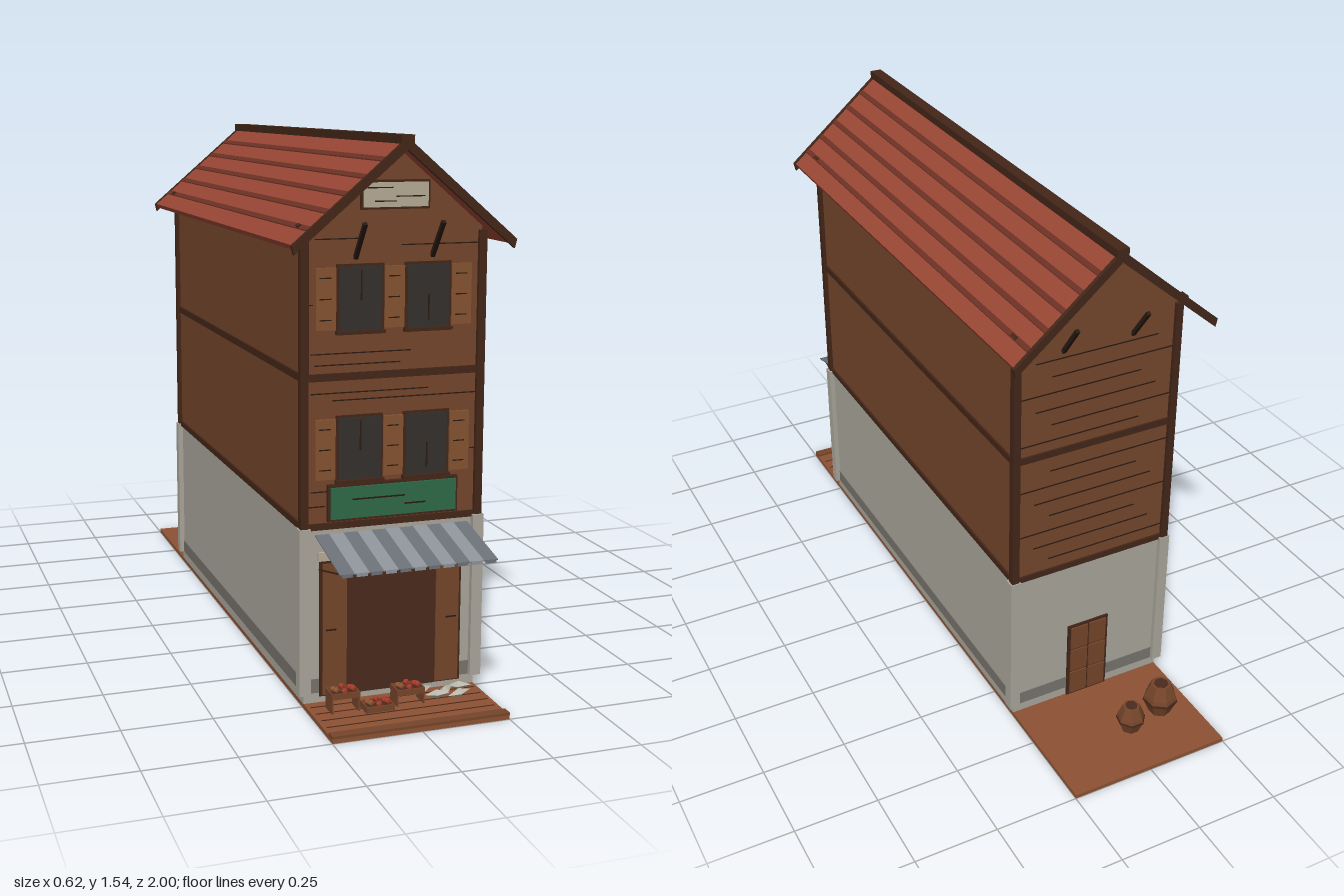
import * as THREE from 'three';

const C = {
  wall: 0x74462b, timber: 0x432618, stone: 0xaaa69c, base: 0x77746d, roof: 0x9a4734, seam: 0x6e3225,
  ground: 0x8d5233, leaf: 0x75452a, dark: 0x4a2a1d, glass: 0x35302c, shutter: 0x865331, green: 0x2f6a48,
  cream: 0xb5ab93, line: 0x2a1a12, awnA: 0x6c7177, awnB: 0x8d9399, red: 0xa8382a, pale: 0xb9b6aa,
};
const mats = {};
const mat = (c) => (mats[c] ??= new THREE.MeshStandardMaterial({ color: C[c], flatShading: true, side: THREE.DoubleSide }));

export function createModel() {
  const model = new THREE.Group();
  const add = (name, geo, c, parent = model) => {
    const m = new THREE.Mesh(geo, mat(c));
    m.name = name;
    parent.add(m);
    return m;
  };
  // Box given by its extents
  const box = (name, c, x0, x1, y0, y1, z0, z1) => {
    const m = add(name, new THREE.BoxGeometry(x1 - x0, y1 - y0, z1 - z0), c);
    m.position.set((x0 + x1) / 2, (y0 + y1) / 2, (z0 + z1) / 2);
    return m;
  };
  // Profile in x,y extruded from z0 to z1
  const prism = (name, c, pts, z0, z1) => {
    const shape = new THREE.Shape(pts.map(([x, y]) => new THREE.Vector2(x, y)));
    const geo = new THREE.ExtrudeGeometry(shape, { depth: z1 - z0, bevelEnabled: false });
    return add(name, geo.translate(0, 0, z0), c);
  };
  // Thin square bar between two points
  const bar = (name, c, a, b, w) => {
    const p = new THREE.Vector3(...a), q = new THREE.Vector3(...b);
    const m = add(name, new THREE.BoxGeometry(w, w, p.distanceTo(q)), c);
    m.position.copy(p).add(q).multiplyScalar(0.5);
    m.lookAt(q);
    return m;
  };
  const ZF = 0.76, ZB = -0.62;

  // Ground and front boardwalk
  box('ground', 'ground', -0.25, 0.25, 0, 0.012, -1, 1);
  box('boardwalkEdge', 'leaf', -0.25, 0.25, 0.012, 0.019, 0.97, 1);
  for (let i = 0; i < 4; i++) box('boardwalkSeam', 'dark', -0.24, 0.24, 0.012, 0.0135, 0.79 + i * 0.045, 0.793 + i * 0.045);

  // Stone storey, plinth and corner pillars
  box('stoneStorey', 'stone', -0.25, 0.25, 0.012, 0.5, ZB, ZF);
  box('plinth', 'base', -0.252, 0.252, 0.04, 0.08, ZB - 0.002, ZF + 0.002);
  for (const s of [-1, 1]) for (const z of [ZF, ZB + 0.002])
    box('stonePillar', 'stone', s * 0.25 - 0.016, s * 0.25 + 0.016, 0.04, 0.505, z - 0.016, z + 0.016);

  // Timber storeys with gables
  prism('timberWalls', 'wall', [[-0.25, 0.5], [0.25, 0.5], [0.25, 1.295], [0, 1.51], [-0.25, 1.295]], ZB, ZF);
  for (const s of [-1, 1]) for (const z of [ZF, ZB])
    box('cornerPost', 'timber', s * 0.25 - 0.011, s * 0.25 + 0.011, 0.5, 1.285, z - 0.011, z + 0.011);
  for (const [y0, y1] of [[0.498, 0.516], [0.9, 0.92]])
    box('storeyBeam', 'timber', -0.256, 0.256, y0, y1, ZB - 0.006, ZF + 0.006);
  // Plank seams on both gable ends
  const seams = [[0.56, -0.24, -0.19], [0.6, -0.23, -0.18], [0.845, -0.17, 0.24], [0.865, -0.23, 0.1], [0.94, -0.22, 0.02],
    [0.97, -0.23, 0.05], [1.25, 0.02, 0.24], [1.27, -0.22, -0.1], [0.69, 0.225, 0.245], [1.1, -0.245, -0.225]];
  for (const [y, x0, x1] of seams) box('plankSeam', 'line', x0, x1, y, y + 0.003, ZF, ZF + 0.002);
  for (let i = 0; i < 14; i++) {
    const y = 0.55 + i * 0.05, k = (i % 3) * 0.05;
    box('plankSeam', 'line', -0.24 + k, 0.14 + k, y, y + 0.003, ZB - 0.002, ZB);
  }

  // Roof: chevron slab, dark end boards, seams and ridge
  const roofY = (x) => 1.527 - Math.abs(x) * 0.855;
  const chevron = (w, lift, t) => [[-w, roofY(w) + lift], [0, roofY(0) + lift], [w, roofY(w) + lift],
    [w - 0.006, roofY(w) + lift - t], [0, roofY(0) + lift - t * 1.3], [-w + 0.006, roofY(w) + lift - t]];
  prism('roof', 'roof', chevron(0.305, 0, 0.013), -0.715, 0.845);
  for (const z of [-0.722, 0.837]) prism('bargeBoard', 'timber', chevron(0.31, 0.004, 0.024), z, z + 0.012);
  for (const s of [-1, 1]) {
    for (const x of [0.055, 0.105, 0.155, 0.205, 0.255])
      prism('roofSeam', 'seam', [[s * x, roofY(x) + 0.003], [s * (x + 0.011), roofY(x + 0.011) + 0.003],
        [s * (x + 0.011), roofY(x + 0.011)], [s * x, roofY(x)]], -0.71, 0.838);
    for (const z of [-0.63, 0.755]) {
      const peg = box('roofPeg', 'timber', s * 0.26 - 0.005, s * 0.26 + 0.005, 1.3, 1.312, z - 0.012, z + 0.012);
      peg.rotation.z = -s * 0.7;
    }
    // Struts below the gable overhangs
    bar('gableStrut', 'line', [s * 0.108, 1.22, ZF], [s * 0.108, 1.315, 0.832], 0.011);
    bar('gableStrut', 'line', [s * 0.108, 1.22, ZB], [s * 0.108, 1.315, -0.69], 0.011);
  }
  box('ridgeCap', 'timber', -0.018, 0.018, 1.515, 1.538, -0.722, 0.849);

  // Gable plate
  box('gablePlateFrame', 'timber', -0.096, 0.096, 1.345, 1.421, ZF, 0.768);
  box('gablePlate', 'cream', -0.09, 0.09, 1.351, 1.415, ZF, 0.772);
  for (const [x0, x1, y] of [[-0.08, -0.01, 1.4], [0.0, 0.08, 1.377], [-0.06, 0, 1.365]])
    box('gablePlateCrack', 'line', x0, x1, y, y + 0.003, 0.77, 0.7735);

  // Windows and shutters
  for (const y of [0.63, 1.03]) {
    for (const s of [-1, 1]) {
      const x = s * 0.095;
      box('windowFrame', 'timber', x - 0.066, x + 0.066, y - 0.005, y + 0.176, ZF, 0.766);
      box('windowPane', 'glass', x - 0.059, x + 0.059, y + 0.002, y + 0.17, ZF, 0.769);
      box('windowSill', 'timber', x - 0.068, x + 0.068, y - 0.008, y + 0.001, ZF, 0.776);
      box('paneCrack', 'line', x - 0.001, x + 0.003, y + (s < 0 ? 0.08 : 0.02), y + (s < 0 ? 0.16 : 0.09), 0.768, 0.7705);
    }
    for (const x of [-0.191, 0, 0.191]) {
      box('shutter', 'shutter', x - 0.028, x + 0.028, y + 0.005, y + 0.168, ZF, 0.768);
      for (const k of [0.03, 0.085, 0.14]) box('shutterSlat', 'line', x - 0.018, x + 0.014, y + k, y + k + 0.003, 0.767, 0.7695);
    }
  }

  // Shop board
  box('shopBoardFrame', 'timber', -0.186, 0.186, 0.521, 0.621, ZF, 0.774);
  box('shopBoard', 'green', -0.179, 0.179, 0.528, 0.614, ZF, 0.78);
  for (const [x0, x1, y] of [[-0.12, 0.03, 0.578], [0.03, 0.09, 0.555]])
    box('shopBoardScratch', 'line', x0, x1, y, y + 0.004, 0.779, 0.7815);

  // Striped awning with thin stays
  const slope = Math.atan2(0.048, 0.2);
  for (let i = 0; i < 11; i++) {
    const m = add('awningStripe', new THREE.BoxGeometry(0.04, 0.003, 0.207), i % 2 ? 'awnB' : 'awnA');
    m.position.set(-0.2 + i * 0.04, 0.461, 0.867);
    m.rotation.x = slope;
    box('awningFringe', i % 2 ? 'awnB' : 'awnA', -0.215 + i * 0.04, -0.185 + i * 0.04, 0.429, 0.438, 0.966, 0.968);
  }
  for (const s of [-1, 1]) bar('awningStay', 'timber', [s * 0.205, 0.387, ZF], [s * 0.205, 0.435, 0.965], 0.004);

  // Shop entrance
  box('lintel', 'cream', -0.21, 0.21, 0.412, 0.436, ZF, 0.768);
  box('entranceFrame', 'timber', -0.206, 0.206, 0.03, 0.412, ZF, 0.765);
  box('entranceInterior', 'dark', -0.13, 0.13, 0.03, 0.405, ZF, 0.767);
  for (const s of [-1, 1]) {
    box('entranceLeaf', 'leaf', s * 0.164 - 0.034, s * 0.164 + 0.034, 0.035, 0.404, ZF, 0.771);
    box('leafHinge', 'line', s * 0.175 - 0.015, s * 0.175 + 0.015, 0.217, 0.221, 0.77, 0.773);
  }

  // Back door
  box('backDoorFrame', 'timber', -0.068, 0.068, 0.012, 0.275, ZB - 0.006, ZB);
  for (const s of [-1, 1]) for (const y of [0.02, 0.105, 0.19])
    box('backDoorPanel', 'leaf', s * 0.031 - 0.028, s * 0.031 + 0.028, y, y + 0.078, ZB - 0.011, ZB);

  // Fruit trays beside the entrance
  for (const [tx, tz, h] of [[-0.16, 0.825, 0.06], [-0.07, 0.85, 0.022], [0.025, 0.83, 0.05]]) {
    for (const s of [-1, 1]) {
      box('traySide', 'leaf', tx - 0.04, tx + 0.04, h - 0.008, h + 0.008, tz + s * 0.026 - 0.002, tz + s * 0.026 + 0.002);
      box('trayEnd', 'leaf', tx + s * 0.038 - 0.002, tx + s * 0.038 + 0.002, 0.012, h + 0.008, tz - 0.026, tz + 0.026);
    }
    box('trayBottom', 'dark', tx - 0.038, tx + 0.038, h - 0.008, h - 0.004, tz - 0.026, tz + 0.026);
    for (let i = 0; i < 6; i++)
      add('fruit', new THREE.IcosahedronGeometry(0.009, 0), i % 3 ? 'red' : 'ground')
        .position.set(tx - 0.024 + (i % 3) * 0.024, h + 0.008 + (i % 2) * 0.006, tz + (i < 3 ? -0.012 : 0.012));
  }
  // Pale fish heaped on the boards
  [[0.08, 0.8, 0.3], [0.1, 0.86, -0.4], [0.14, 0.82, 0.6], [0.16, 0.87, 0.1], [0.19, 0.8, -0.5]].forEach(([x, z, a], i) => {
    const fish = add('fish', new THREE.OctahedronGeometry(1), 'pale');
    fish.scale.set(0.035, 0.013, 0.014);
    fish.position.set(x, 0.026 + (i % 2) * 0.01, z);
    fish.rotation.set(0, a, 0.15);
  });

  // Barrels behind the building
  for (const [x, z, r, h, turn] of [[-0.15, -0.81, 0.052, 0.104, 0.3], [-0.03, -0.837, 0.043, 0.088, 0.9]]) {
    const barrel = new THREE.Group();
    barrel.name = 'barrel';
    const body = [[0, 0], [0.62, 0], [1, 0.45], [0.92, 0.62], [0.6, 1], [0, 1]].map(([a, b]) => new THREE.Vector2(a * r, b * h));
    add('barrelBody', new THREE.LatheGeometry(body, 7), 'leaf', barrel);
    const hoop = add('barrelHoop', new THREE.CylinderGeometry(r * 1.0, r * 1.03, h * 0.06, 7, 1), 'timber', barrel);
    hoop.position.y = h * 0.47;
    const lid = add('barrelLid', new THREE.CylinderGeometry(r * 0.42, r * 0.42, 0.004, 7), 'dark', barrel);
    lid.position.y = h;
    barrel.position.set(x, 0.011, z);
    barrel.rotation.y = turn;
    model.add(barrel);
  }
  return model;
}
